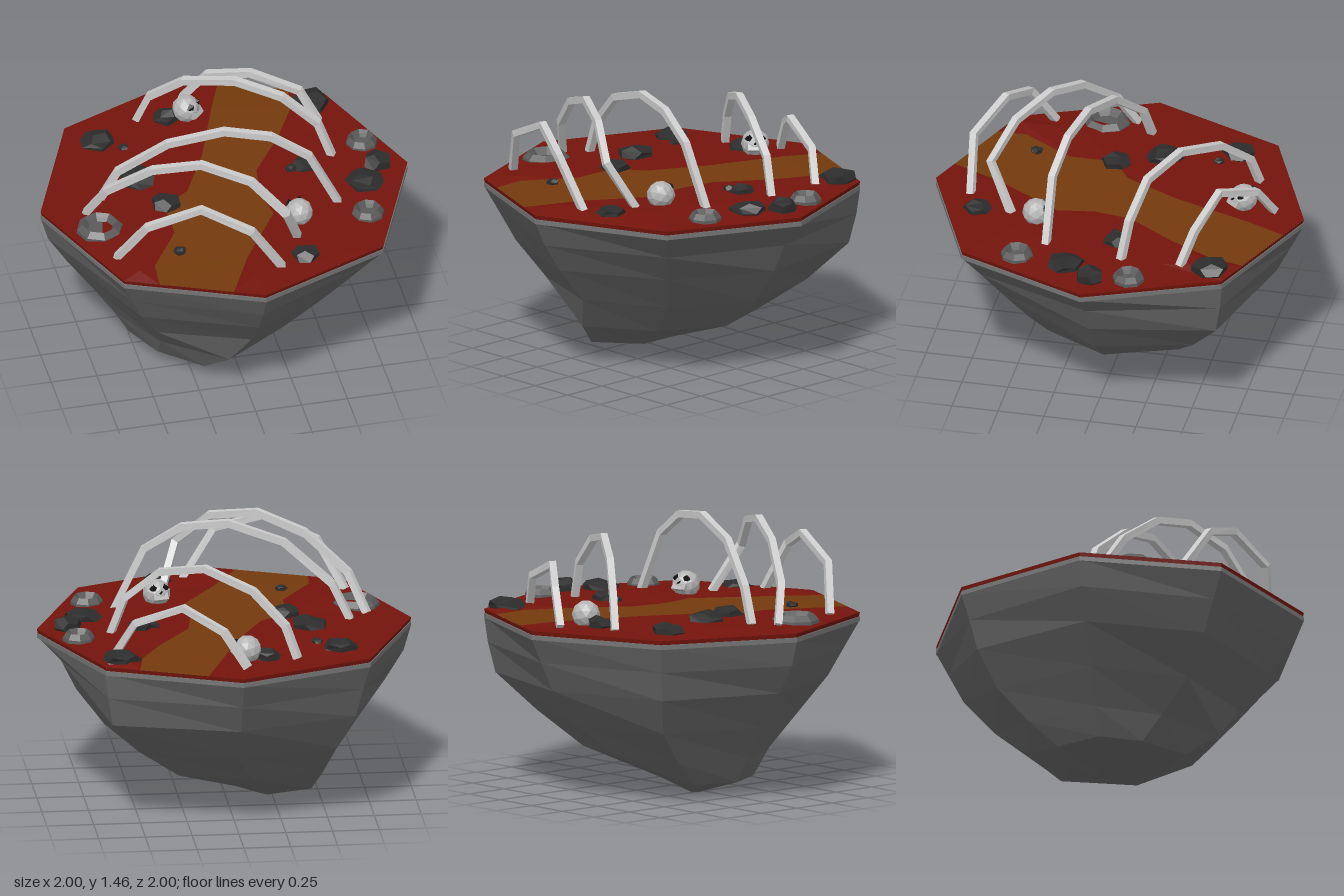
import * as THREE from 'three';

const V = (x, y, z) => new THREE.Vector3(x, y, z);
const mat = (color, side = THREE.FrontSide) =>
  new THREE.MeshStandardMaterial({ color, side, flatShading: true });

const stoneMat = mat(0x646464);
const rimMat = mat(0x747474);
const redMat = mat(0x74140c);
const pathMat = mat(0x73390c);
const coalMat = mat(0x2c2c2c);
const craterMat = mat(0x5a5a5a, THREE.DoubleSide);
const boneMat = mat(0xcccccc);
const skullMat = mat(0xb4b4b4);
const socketMat = mat(0x141414);

const TOP = 0.94;

function seeded(seed) {
  return () => {
    seed = (seed * 16807) % 2147483647;
    return seed / 2147483647;
  };
}

function fromTriangles(points) {
  const g = new THREE.BufferGeometry().setFromPoints(points);
  g.computeVertexNormals();
  return g;
}

// Skin over a stack of equal-sized rings, closed at both ends
function loft(rings) {
  const tris = [];
  const n = rings[0].length;
  const centre = r => r.reduce((s, p) => s.add(p), V(0, 0, 0)).divideScalar(n);
  const first = rings[0], last = rings[rings.length - 1];
  const c0 = centre(first), c1 = centre(last);
  for (let k = 0; k < n; k++) {
    const m = (k + 1) % n;
    for (let i = 0; i < rings.length - 1; i++) {
      const a = rings[i], b = rings[i + 1];
      tris.push(a[k], a[m], b[k], a[m], b[m], b[k]);
    }
    tris.push(c0, first[m], first[k], c1, last[k], last[m]);
  }
  return fromTriangles(tris);
}

function add(parent, name, geometry, material, x = 0, y = 0, z = 0) {
  const mesh = new THREE.Mesh(geometry, material);
  mesh.name = name;
  mesh.position.set(x, y, z);
  parent.add(mesh);
  return mesh;
}

// Tapering underside: each level is a height, a centre (x, z) and eight radii from +x towards +z
function undersideGeometry() {
  const levels = [
    [0.9, 0, 0, [1, 1, 1, 1, 1, 1, 1, 1]],
    [0.76, 0, 0, [0.87, 0.88, 0.93, 0.92, 0.96, 0.95, 0.93, 0.98]],
    [0.6, 0, 0, [0.79, 0.75, 0.82, 0.83, 0.86, 0.9, 0.85, 0.94]],
    [0.4, 0, 0, [0.64, 0.58, 0.65, 0.67, 0.72, 0.77, 0.68, 0.72]],
    [0.22, -0.1, 0, [0.52, 0.48, 0.56, 0.45, 0.5, 0.55, 0.49, 0.54]],
    [0.08, -0.2, 0, [0.22, 0.31, 0.4, 0.3, 0.32, 0.34, 0.22, 0.22]],
    [0, -0.23, -0.04, [0.03, 0.03, 0.03, 0.03, 0.03, 0.03, 0.03, 0.03]],
  ];
  return loft(levels.map(([y, cx, cz, radii]) => radii.map((r, k) =>
    V(cx + r * Math.cos(k * Math.PI / 4), y, cz + r * Math.sin(k * Math.PI / 4)))));
}

// Ground in rows: outer left, path left, path right, outer right (x, z pairs)
function addGround(group) {
  const rand = seeded(7);
  const rows = [
    [0.18, -0.925, 0.18, -0.925, 0.53, -0.78, 0.53, -0.78],
    [0, -1, 0.1, -0.72, 0.5, -0.6, 0.707, -0.707],
    [-0.354, -0.854, -0.05, -0.3, 0.38, -0.37, 0.854, -0.354],
    [-0.707, -0.707, -0.2, 0, 0.2, -0.1, 1, 0],
    [-1, 0, -0.35, 0.1, 0.17, 0.1, 0.854, 0.354],
    [-0.854, 0.354, -0.35, 0.35, 0.2, 0.3, 0.707, 0.707],
    [-0.707, 0.707, -0.52, 0.62, -0.02, 0.65, 0, 1],
    [-0.53, 0.78, -0.53, 0.78, -0.16, 0.934, -0.16, 0.934],
  ].map((r, i) => {
    const edge = i === 0 || i === 7;
    const [a, b, c, d] = [0, 2, 4, 6].map(k =>
      V(r[k], TOP + (edge || k === 0 || k === 6 ? 0 : 0.008), r[k + 1]));
    const mid = (p, q) => {
      const m = p.clone().lerp(q, 0.5);
      if (!edge) m.y = TOP + rand() * 0.036;
      return m;
    };
    return [a, mid(a, b), b, c, mid(c, d), d];
  });
  const red = [], path = [];
  for (let i = 0; i < 7; i++) {
    for (let j = 0; j < 5; j++) {
      const a = rows[i], b = rows[i + 1];
      (j === 2 ? path : red).push(a[j], b[j], a[j + 1], b[j], b[j + 1], a[j + 1]);
    }
  }
  add(group, 'redGround', fromTriangles(red), redMat);
  add(group, 'path', fromTriangles(path), pathMat);
}

// Square-section bone following a list of points
function ribGeometry(coords, half = 0.019) {
  const pts = coords.map(c => V(...c));
  const end = pts.length - 1;
  const chord = pts[end].clone().sub(pts[0]).setY(0).normalize();
  const across = V(-chord.z, 0, chord.x);
  return loft(pts.map((p, i) => {
    const t = pts[Math.min(i + 1, end)].clone().sub(pts[Math.max(i - 1, 0)]).normalize();
    const s = across.clone().addScaledVector(t, -across.dot(t)).normalize();
    const n = t.clone().cross(s);
    return [[1, 1], [-1, 1], [-1, -1], [1, -1]].map(([u, v]) =>
      p.clone().addScaledVector(s, u * half).addScaledVector(n, v * half));
  }));
}

// Chipped boulder: a squashed dodecahedron with shifted corners
function boulderGeometry(r, h, seed) {
  const g = new THREE.DodecahedronGeometry(1, 0);
  const p = g.attributes.position;
  for (let i = 0; i < p.count; i++) {
    const [x, y, z] = [p.getX(i), p.getY(i), p.getZ(i)];
    const k = 1 + 0.1 * Math.sin(Math.round(x * 50) * 1.3 + Math.round(y * 50) * 2.1 + Math.round(z * 50) * 0.7 + seed);
    p.setXYZ(i, x * r * k, y * h * k, z * r * k);
  }
  g.rotateY(seed);
  g.computeVertexNormals();
  return g;
}

// Skull facing +z
function skull(r) {
  const g = new THREE.Group();
  g.name = 'skull';
  add(g, 'cranium', new THREE.IcosahedronGeometry(r, 1), skullMat);
  for (const s of [-1, 1]) {
    add(g, 'eyeSocket', new THREE.OctahedronGeometry(r * 0.36, 0), socketMat,
      s * r * 0.4, r * 0.08, r * 0.74);
    add(g, 'cheek', new THREE.BoxGeometry(r * 0.25, r * 0.5, r * 0.4), skullMat,
      s * r * 0.42, -r * 0.55, r * 0.6);
  }
  add(g, 'noseHole', new THREE.TetrahedronGeometry(r * 0.22, 0), socketMat, 0, -r * 0.32, r * 0.86);
  add(g, 'jaw', new THREE.BoxGeometry(r * 0.7, r * 0.3, r * 0.4), skullMat, 0, -r * 0.66, r * 0.62);
  return g;
}

export function createModel() {
  const group = new THREE.Group();
  group.name = 'floatingIsland';

  // Island body
  add(group, 'underside', undersideGeometry(), stoneMat);
  add(group, 'stoneRim', new THREE.CylinderGeometry(1, 1, 0.025, 8), rimMat, 0, 0.905, 0);
  add(group, 'redRim', new THREE.CylinderGeometry(1, 0.995, 0.022, 8, 1, true), redMat, 0, 0.929, 0);
  addGround(group);

  // Rib cage, back to front
  const ribs = [
    [[-0.04, 0.95, -0.83], [0.08, 1.13, -0.76], [0.28, 1.22, -0.6], [0.53, 1.12, -0.52], [0.62, 0.95, -0.46]],
    [[-0.32, 0.95, -0.69], [-0.26, 1.12, -0.65], [-0.1, 1.28, -0.53], [0.14, 1.36, -0.36],
      [0.37, 1.31, -0.23], [0.55, 1.15, -0.17], [0.62, 0.95, -0.14]],
    [[-0.67, 0.95, -0.03], [-0.58, 1.14, 0], [-0.33, 1.35, 0.1], [-0.04, 1.44, 0.18],
      [0.2, 1.41, 0.24], [0.4, 1.28, 0.28], [0.56, 0.95, 0.28]],
    [[-0.77, 0.95, 0.07], [-0.68, 1.15, 0.17], [-0.46, 1.34, 0.3], [-0.22, 1.42, 0.42],
      [0.02, 1.37, 0.56], [0.19, 1.2, 0.66], [0.28, 0.95, 0.53]],
    [[-0.7, 0.95, 0.5], [-0.56, 1.2, 0.61], [-0.28, 1.32, 0.68], [-0.03, 1.22, 0.8], [0.14, 0.95, 0.78]],
  ];
  ribs.forEach(r => add(group, 'rib', ribGeometry(r), boneMat));

  // Dark boulders: x, z, radius, half height
  const boulders = [
    [-0.56, -0.53, 0.095, 0.05], [-0.45, -0.44, 0.033, 0.025], [0.62, -0.63, 0.105, 0.055],
    [-0.44, -0.15, 0.105, 0.055], [0.46, -0.08, 0.07, 0.045], [0.38, -0.06, 0.033, 0.025],
    [0.84, -0.02, 0.08, 0.065], [0.74, 0.14, 0.105, 0.045], [-0.34, 0.09, 0.085, 0.045],
    [-0.36, 0.53, 0.035, 0.02], [0.28, 0.71, 0.08, 0.045], [-0.16, -0.66, 0.07, 0.05],
  ];
  boulders.forEach(([x, z, r, h], i) =>
    add(group, 'boulder', boulderGeometry(r, h, i * 1.7), coalMat, x, 0.957, z));

  // Hollow stone mounds
  for (const [x, z, r] of [[-0.73, 0.23, 0.13], [0.8, -0.22, 0.088], [0.69, 0.41, 0.09]]) {
    const profile = [[1, -0.015], [0.96, 0.02], [0.74, 0.05], [0.62, 0.032], [0.5, 0.012], [0, 0.012]]
      .map(([k, y]) => new THREE.Vector2(k * r, y));
    add(group, 'hollowMound', new THREE.LatheGeometry(profile, 8), craterMat, x, TOP, z);
  }

  // Skulls: x, z, radius, turn, upward tilt
  const skulls = [[-0.055, -0.66, 0.076, 0.85, 0.6], [0.32, 0.385, 0.075, Math.PI + 0.25, 0.6]];
  for (const [x, z, r, turn, tilt] of skulls) {
    const s = skull(r);
    s.position.set(x, 1.0, z);
    s.rotation.set(-tilt, turn, 0, 'YXZ');
    group.add(s);
  }
  return group;
}
